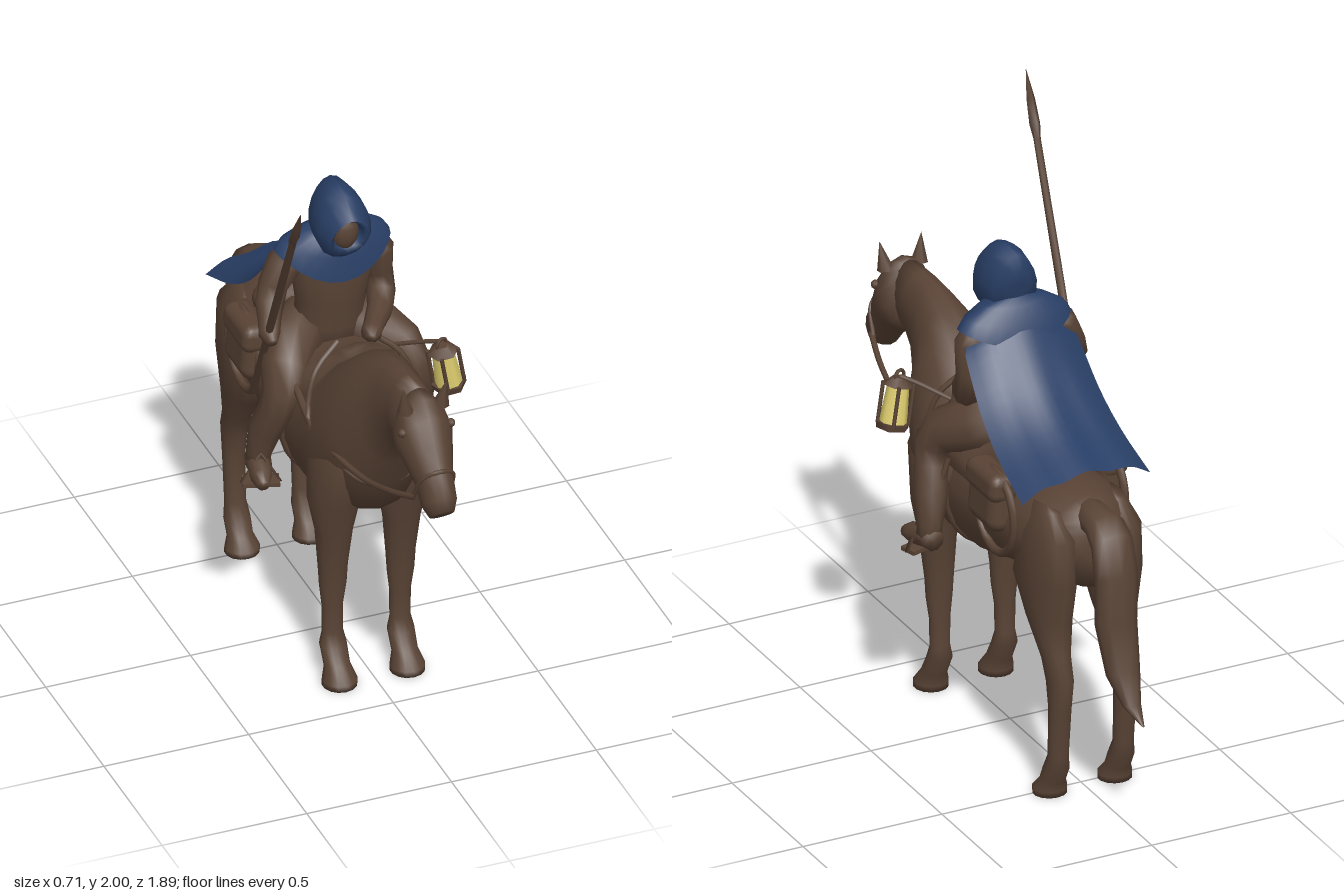
import * as THREE from 'three';
import { RoundedBoxGeometry } from 'three/addons/geometries/RoundedBoxGeometry.js';

const V = (x, y, z) => new THREE.Vector3(x, y, z);
const brown = new THREE.MeshStandardMaterial({ color: 0x594335 });
brown.name = 'brown';
const blue = new THREE.MeshStandardMaterial({ color: 0x293f66, side: THREE.DoubleSide });
blue.name = 'cloak blue';
const yellow = new THREE.MeshStandardMaterial({ color: 0xe0d070 });
yellow.name = 'lantern yellow';

// Skin a list of vertex rings, cap both ends and make the faces point outward.
function skin(rings) {
  const n = rings[0].length, pos = [], idx = [];
  rings.forEach(r => r.forEach(p => pos.push(p.x, p.y, p.z)));
  for (let i = 0; i < rings.length - 1; i++) {
    for (let j = 0; j < n; j++) {
      const a = i * n + j, b = i * n + (j + 1) % n;
      idx.push(a, b, b + n, a, b + n, a + n);
    }
  }
  [0, rings.length - 1].forEach((i, end) => {
    const c = rings[i].reduce((s, p) => s.add(p), V(0, 0, 0)).divideScalar(n);
    const k = pos.length / 3;
    pos.push(c.x, c.y, c.z);
    for (let j = 0; j < n; j++) {
      const a = i * n + j, b = i * n + (j + 1) % n;
      idx.push(...(end ? [a, b, k] : [b, a, k]));
    }
  });
  const at = i => V(pos[3 * i], pos[3 * i + 1], pos[3 * i + 2]);
  let volume = 0;
  for (let i = 0; i < idx.length; i += 3) volume += at(idx[i]).dot(at(idx[i + 1]).cross(at(idx[i + 2])));
  if (volume < 0) idx.reverse();
  const g = new THREE.BufferGeometry();
  g.setAttribute('position', new THREE.Float32BufferAttribute(pos, 3));
  g.setIndex(idx);
  g.computeVertexNormals();
  return g;
}

// Elliptical sections: [z1, y1, z2, y2, halfWidth] spanning two profile points,
// offset sideways by x; taper narrows the side of the first point.
function loft(sections, x = 0, n = 14, taper = 0) {
  return skin(sections.map(([z1, y1, z2, y2, w]) => Array.from({ length: n }, (_, j) => {
    const t = j / n * Math.PI * 2, c = Math.cos(t) / 2;
    return V(x + w * Math.sin(t) * (1 - 2 * taper * c), (y1 + y2) / 2 + (y1 - y2) * c, (z1 + z2) / 2 + (z1 - z2) * c);
  })));
}

// Round limb through points [x, y, z, radius].
function limb(pts, n = 9) {
  const P = pts.map(p => V(p[0], p[1], p[2]));
  return skin(P.map((p, i) => {
    const t = P[Math.min(i + 1, P.length - 1)].clone().sub(P[Math.max(i - 1, 0)]).normalize();
    const u = t.clone().cross(V(1, 0, 0)).normalize(), v = u.clone().cross(t);
    return Array.from({ length: n }, (_, j) => {
      const a = j / n * Math.PI * 2;
      return p.clone().addScaledVector(u, pts[i][3] * Math.cos(a)).addScaledVector(v, pts[i][3] * Math.sin(a));
    });
  }));
}

// Open cloth sheet from a rule of (u, v).
function sheet(nu, nv, rule) {
  const g = new THREE.PlaneGeometry(1, 1, nu, nv), uv = g.attributes.uv;
  for (let i = 0; i < uv.count; i++) g.attributes.position.setXYZ(i, ...rule(uv.getX(i), 1 - uv.getY(i)));
  g.computeVertexNormals();
  return g;
}

const strap = (pts, r) => new THREE.TubeGeometry(new THREE.CatmullRomCurve3(pts.map(p => V(...p))), 24, r, 6);

export function createModel() {
  const model = new THREE.Group();
  const add = (name, geo, mat = brown, pos = [0, 0, 0], rot = [0, 0, 0], scale = [1, 1, 1], parent = model) => {
    const m = new THREE.Mesh(geo, mat);
    m.name = name;
    m.position.set(...pos); m.rotation.set(...rot); m.scale.set(...scale);
    parent.add(m);
    return m;
  };

  // Horse trunk, neck, head and tail
  add('horseBody', loft([
    [-.605, 1.02, -.64, .86, .07], [-.55, 1.055, -.62, .76, .15], [-.44, 1.065, -.46, .72, .2],
    [-.28, 1.06, -.28, .69, .205], [-.05, 1.05, -.05, .62, .205], [.13, 1.09, .18, .60, .205],
    [.21, 1.16, .38, .67, .2], [.32, 1.245, .47, .82, .165], [.42, 1.295, .5, .92, .115],
    [.52, 1.325, .57, 1.02, .082], [.62, 1.33, .63, 1.08, .072], [.71, 1.33, .68, 1.09, .065]], 0, 18));
  add('horseHead', loft([
    [.71, 1.332, .64, 1.13, .06], [.765, 1.32, .67, 1.09, .09], [.81, 1.27, .71, 1.08, .098],
    [.855, 1.195, .745, 1.06, .082], [.905, 1.12, .8, 1.01, .062], [.945, 1.05, .845, .96, .058],
    [.945, 1.0, .89, .945, .042]]));
  add('tail', loft([
    [-.5, 1.05, -.54, .94, .05], [-.6, 1.05, -.61, .94, .06], [-.68, 1.045, -.655, .95, .068],
    [-.75, 1.0, -.69, .92, .073], [-.80, .87, -.7, .84, .075], [-.80, .70, -.695, .68, .072],
    [-.845, .55, -.75, .51, .057], [-.89, .45, -.83, .43, .03], [-.945, .4, -.935, .4, .004]], 0, 10));

  for (const s of [1, -1]) {
    const side = s > 0 ? 'left' : 'right';
    // Horse legs, ears and eyes
    add(side + 'FrontLeg', loft([
      [.34, .98, .2, .98, .03], [.42, .87, .15, .87, .08], [.375, .7, .185, .69, .088], [.34, .57, .22, .57, .064],
      [.31, .42, .23, .42, .05], [.305, .35, .235, .35, .046], [.295, .27, .237, .27, .036], [.293, .17, .237, .17, .035],
      [.31, .12, .23, .13, .045], [.345, .07, .265, .055, .043], [.385, .02, .27, .02, .058], [.387, 0, .27, 0, .058]], s * .117));
    add(side + 'HindLeg', loft([
      [-.42, 1.02, -.56, 1.02, .03], [-.36, .92, -.635, .94, .075], [-.32, .75, -.635, .78, .085], [-.41, .62, -.6, .64, .07],
      [-.5, .5, -.605, .52, .048], [-.525, .42, -.638, .44, .042], [-.543, .33, -.62, .33, .038],
      [-.54, .16, -.6, .16, .036], [-.51, .1, -.6, .11, .044], [-.49, .06, -.57, .05, .043],
      [-.455, .02, -.565, .02, .058], [-.455, 0, -.565, 0, .058]], s * .117));
    add(side + 'Ear', new THREE.ConeGeometry(.028, .1, 6), brown, [s * .068, 1.335, .765], [.15, 0, -s * .15]);
    add(side + 'Eye', new THREE.SphereGeometry(.015, 8, 6), brown, [s * .084, 1.225, .785]);

    // Tack on each flank
    add(side + 'Rein', strap([[s * .065, 1.015, .85], [s * .095, .97, .73], [s * .12, .92, .56], [s * .155, .925, .4],
      [s * .19, .97, .25], [s * .15, 1.12, .2], [s * .06, 1.2, .17]], .01));
    add(side + 'BreastStrap', strap([[0, .8, .445], [s * .1, .85, .44], [s * .18, .95, .29], [s * .19, 1.04, .12]], .013));
    add(side + 'Saddlebag', new RoundedBoxGeometry(.1, .2, .2, 3, .045), brown, [s * .195, .97, -.26], [0, 0, s * .08]);
    add(side + 'BagFlap', new RoundedBoxGeometry(.1, .1, .21, 2, .035), brown, [s * .201, 1.03, -.26], [0, 0, s * .08]);
    add(side + 'RopeCoil', new THREE.TorusGeometry(.13, .014, 7, 24), brown, [s * .2, .93, -.29], [0, Math.PI / 2, 0], [1, 1.1, 1]);
    add(side + 'StirrupStrap', strap([[s * .21, .98, .02], [s * .25, .85, .03], [s * .285, .74, .06]], .009));

    // Rider's leg, boot and triangular stirrup
    add(side + 'Leg', limb([[s * .06, 1.13, -.1, .09], [s * .13, 1.11, -.03, .095], [s * .2, 1.06, .06, .08],
      [s * .225, 1.0, .098, .064], [s * .24, .93, .085, .058], [s * .26, .85, .05, .058], [s * .275, .75, .03, .043], [s * .28, .69, .03, .04]]));
    add(side + 'Boot', limb([[s * .275, .705, -.01, .035], [s * .28, .71, .04, .042], [s * .295, .695, .1, .036], [s * .305, .685, .14, .02]]));
    const stirrup = add(side + 'Stirrup', new THREE.TorusGeometry(.07, .009, 5, 3).rotateZ(Math.PI / 2), brown, [s * .285, .695, .07], [0, s * .3, 0]);
    add(side + 'StirrupTread', new THREE.BoxGeometry(.12, .014, .06), brown, [0, -.036, 0], [0, 0, 0], [1, 1, 1], stirrup);
  }
  add('bridleNoseband', strap([[.066, 1.0, .83], [.05, 1.1, .88], [0, 1.125, .9], [-.05, 1.1, .88], [-.066, 1.0, .83]], .008));
  add('girth', new THREE.TorusGeometry(.207, .01, 6, 28), brown, [0, .835, .05], [0, 0, 0], [1, 1.05, 2]);

  // Saddle and bedroll
  add('saddle', loft([[.19, 1.17, .18, 1.0, .06], [.17, 1.18, .17, .95, .14], [.1, 1.12, .1, .84, .21],
    [-.1, 1.1, -.1, .86, .21], [-.15, 1.18, -.17, .95, .15], [-.18, 1.18, -.2, 1.0, .1]]));
  add('bedroll', new THREE.CapsuleGeometry(.055, .24, 4, 12), brown, [0, 1.115, -.27], [0, 0, Math.PI / 2]);

  // Rider's torso, arms and face
  add('torso', loft([[.03, 1.05, -.16, 1.05, .13], [.04, 1.15, -.15, 1.15, .115], [.05, 1.25, -.13, 1.25, .12],
    [.06, 1.36, -.11, 1.36, .14], [.05, 1.44, -.09, 1.44, .13], [.03, 1.49, -.05, 1.49, .06]]));
  add('leftArm', limb([[.12, 1.44, -.03, .055], [.15, 1.39, -.02, .058], [.162, 1.3, -.035, .048], [.165, 1.225, -.02, .048],
    [.13, 1.21, .06, .043], [.08, 1.2, .13, .034], [.055, 1.205, .175, .035], [.045, 1.2, .195, .015]]));
  add('rightArm', limb([[-.12, 1.44, -.03, .055], [-.165, 1.4, -.03, .06], [-.205, 1.33, -.025, .05], [-.228, 1.28, 0, .047],
    [-.248, 1.25, .05, .038], [-.262, 1.225, .085, .036], [-.265, 1.21, .12, .018]]));
  add('face', new THREE.SphereGeometry(1, 12, 10), brown, [0, 1.555, .075], [0, 0, 0], [.048, .07, .045]);

  // Pointed hood with an inward-turned rim around the face
  add('hood', loft([[-.062, 1.64, -.045, 1.54, .045], [-.045, 1.69, -.03, 1.47, .078], [.03, 1.7, .02, 1.46, .09],
    [.09, 1.685, .08, 1.455, .09], [.15, 1.63, .11, 1.485, .066], [.13, 1.615, .1, 1.5, .05], [.06, 1.6, .06, 1.52, .035]], 0, 16, .2), blue);

  // Shoulder mantle: rows of [y, halfWidth, frontDepth, backDepth]
  const rows = [[1.54, .05, .06, .02], [1.525, .115, .085, .045], [1.49, .175, .105, .08], [1.455, .198, .115, .1]];
  add('mantle', sheet(24, 3, (u, v) => {
    const [y, rx, front, back] = rows[Math.round(v * 3)], t = u * Math.PI * 2, c = Math.cos(t);
    const drop = c > 0 ? .095 * c * c : .05 * c * c;
    return [rx * Math.sin(t), y - drop * v * v, -.03 + (c > 0 ? front : back) * c];
  }), blue);

  // Cape flowing from the neck back over the rump
  const flow = new THREE.CatmullRomCurve3([V(0, 1.52, -.055), V(0, 1.47, -.1), V(0, 1.39, -.16), V(0, 1.285, -.25), V(0, 1.2, -.37), V(0, 1.13, -.54)]);
  add('cape', sheet(16, 14, (u, v) => {
    const p = flow.getPoint(v), k = 2 * u - 1, spread = .09 + .095 * Math.min(1, v * 4) + .05 * v;
    return [k * spread, p.y - .05 * k * k + .007 * v * Math.cos(k * 9), p.z + .07 * k * k * (1 - v) - .01 * k * v];
  }), blue);

  // Spear slanting forward from the right hand
  const butt = V(-.222, .85, -.155), tip = V(-.35, 1.995, .572);
  const along = t => butt.clone().lerp(tip, t).toArray();
  add('spearShaft', limb([[...along(0), .012], [...along(.5), .014], [...along(.87), .012]], 7));
  add('spearHead', limb([[...along(.83), .012], [...along(.87), .019], [...along(.93), .015], [...along(1), .001]], 4));

  // Lantern: glowing core in a four-post cage
  const lantern = new THREE.Group();
  lantern.name = 'lantern';
  lantern.position.set(.275, 1.085, .265);
  lantern.rotation.set(0, .35, .2);
  model.add(lantern);
  const part = (name, geo, mat, pos) => add(name, geo, mat, pos, [0, 0, 0], [1, 1, 1], lantern);
  part('lanternGlass', new THREE.CylinderGeometry(.036, .046, .125, 8), yellow, [0, -.005, 0]);
  part('lanternBase', new THREE.CylinderGeometry(.058, .054, .022, 6), brown, [0, -.078, 0]);
  part('lanternRoof', new THREE.CylinderGeometry(.022, .052, .028, 6), brown, [0, .072, 0]);
  part('lanternHandle', new THREE.TorusGeometry(.02, .006, 6, 12), brown, [0, .088, 0]);
  for (let i = 0; i < 4; i++) {
    const a = i * Math.PI / 2 + .8;
    part('lanternPost', new THREE.CylinderGeometry(.007, .007, .14, 5), brown, [.05 * Math.cos(a), -.005, .05 * Math.sin(a)]);
  }
  add('lanternHanger', strap([[.26, 1.175, .26], [.22, 1.16, .22], [.14, 1.12, .14]], .008));
  return model;
}
